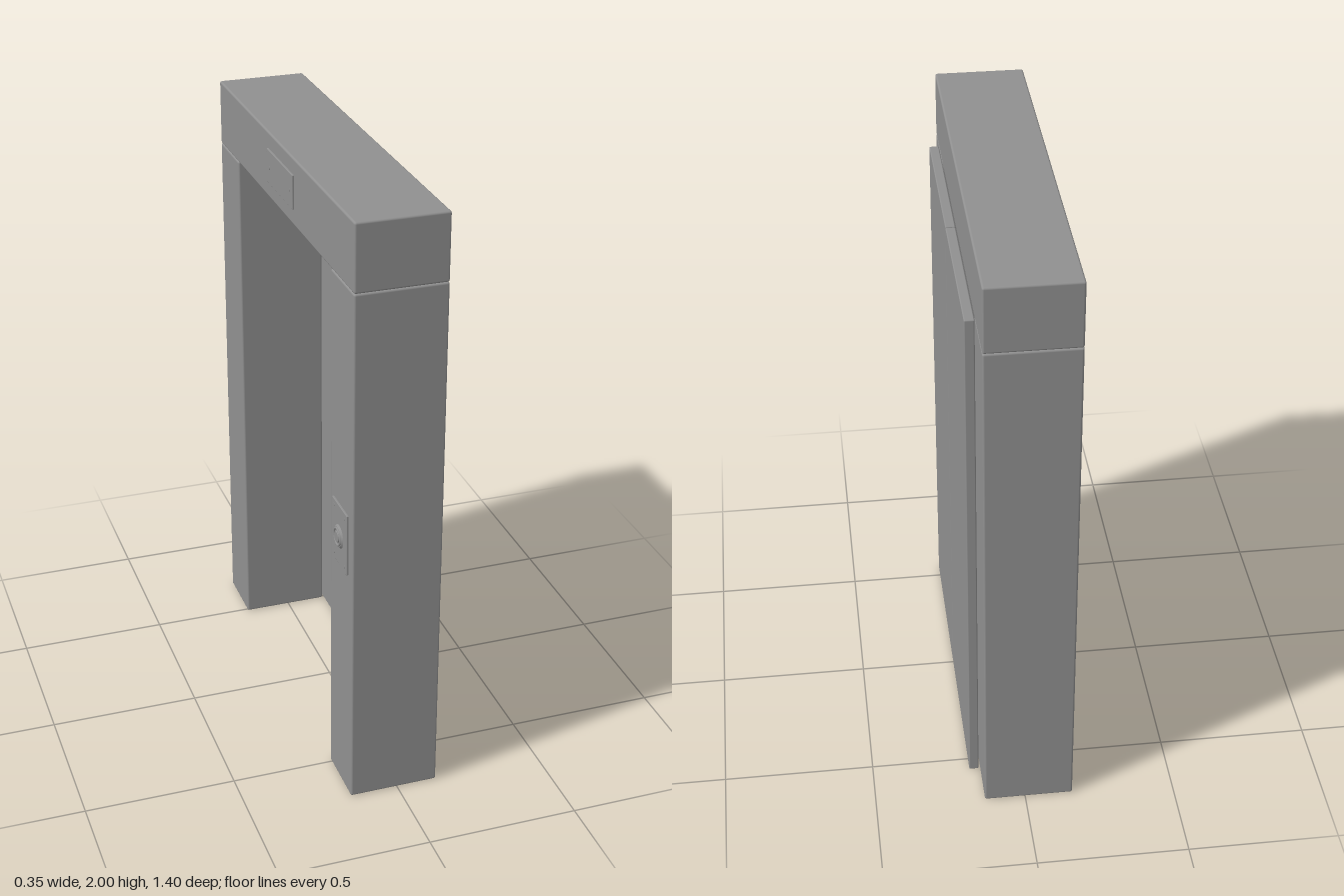
import * as THREE from 'three';
import { RoundedBoxGeometry } from 'three/addons/geometries/RoundedBoxGeometry.js';

export function createModel() {
  const group = new THREE.Group();
  const mat = new THREE.MeshStandardMaterial({ color: 0x909090 });

  function add(name, geometry, x, y, z, parent) {
    const mesh = new THREE.Mesh(geometry, mat);
    mesh.name = name;
    mesh.position.set(x, y, z);
    parent.add(mesh);
    return mesh;
  }
  // Softly bevelled box given by its limits
  function block(name, x0, x1, y0, y1, z0, z1, r, parent = group) {
    const geo = new RoundedBoxGeometry(x1 - x0, y1 - y0, z1 - z0, 2, r);
    add(name, geo, (x0 + x1) / 2, (y0 + y1) / 2, (z0 + z1) / 2, parent);
  }
  // Disc facing -x, with its outer and inner radius
  function disc(name, outer, inner, x0, x1, y, z, parent, sides = 32) {
    const geo = new THREE.CylinderGeometry(outer, inner, x1 - x0, sides);
    geo.rotateZ(Math.PI / 2);
    add(name, geo, (x0 + x1) / 2, y, z, parent);
  }

  // Frame: two posts and a lintel
  block('frontPost', -0.16, 0.136, 0, 1.78, 0.488, 0.699, 0.007);
  block('backPost', -0.16, 0.136, 0, 1.78, -0.699, -0.488, 0.007);
  block('lintel', -0.16, 0.136, 1.78, 2, -0.699, 0.699, 0.007);

  // Pair of sliding doors behind the frame
  block('frontDoor', 0.141, 0.173, 0, 1.805, 0.002, 0.551, 0.004);
  block('backDoor', 0.141, 0.173, 0, 1.805, -0.551, -0.002, 0.004);

  // Call panel with corner screws and a raised button
  const call = new THREE.Group();
  call.name = 'callPanel';
  group.add(call);
  block('callPlate', -0.166, -0.155, 0.82, 1.03, 0.52, 0.66, 0.002, call);
  for (const y of [0.84, 1.01]) {
    for (const z of [0.54, 0.64]) disc('screw', 0.005, 0.005, -0.167, -0.163, y, z, call, 12);
  }
  disc('buttonBase', 0.034, 0.042, -0.172, -0.163, 0.922, 0.589, call);
  const ring = add('buttonRing', new THREE.TorusGeometry(0.028, 0.004, 10, 36), -0.172, 0.922, 0.589, call);
  ring.rotation.y = Math.PI / 2;
  disc('button', 0.018, 0.02, -0.176, -0.17, 0.922, 0.589, call);

  // Floor indicator on the lintel
  const indicator = new THREE.Group();
  indicator.name = 'floorIndicator';
  group.add(indicator);
  block('indicatorPlate', -0.166, -0.155, 1.835, 1.947, -0.134, 0.134, 0.002, indicator);
  for (const z of [-0.105, 0.105]) disc('screw', 0.006, 0.006, -0.167, -0.163, 1.89, z, indicator, 12);

  return group;
}
